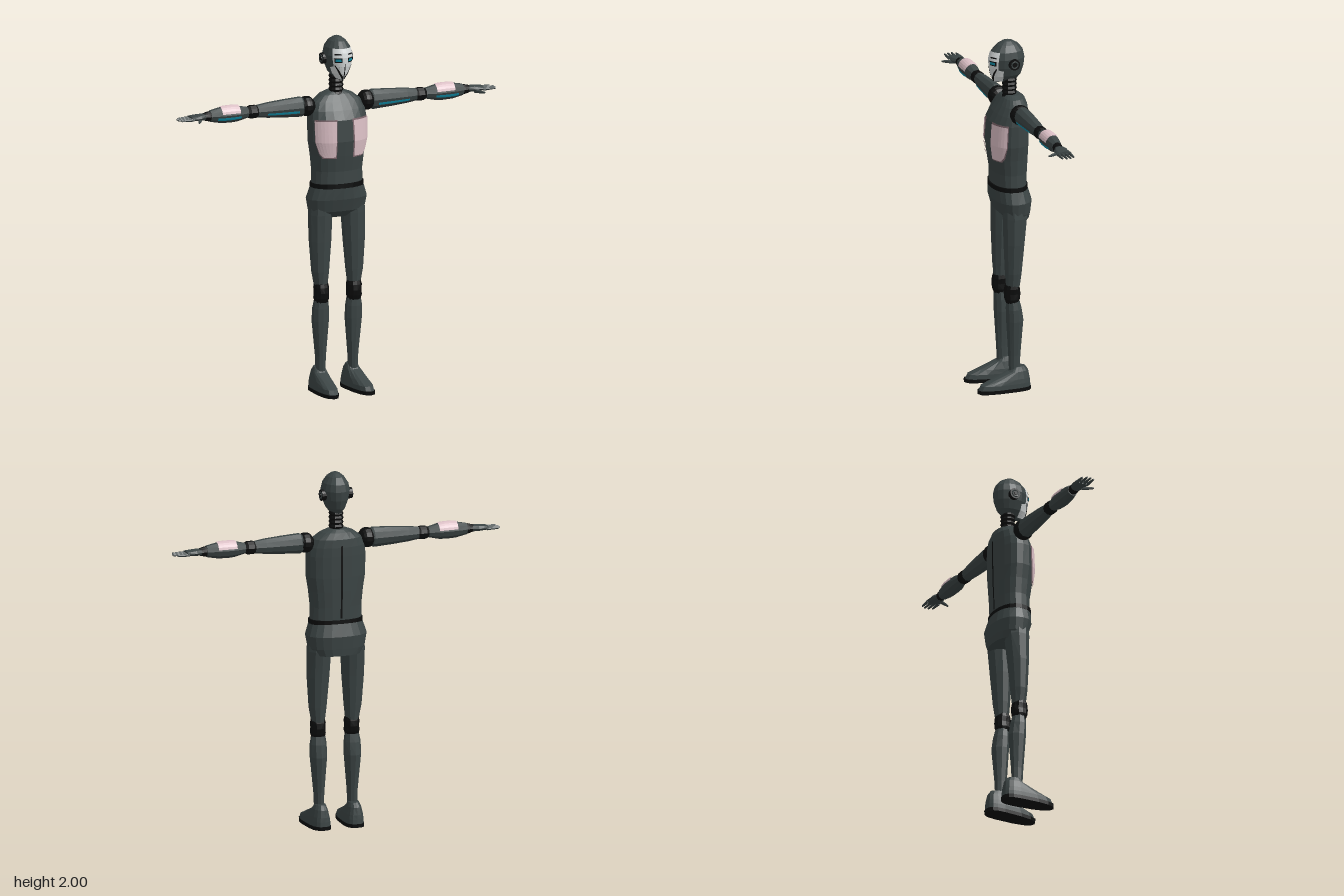
import * as THREE from 'three';
import { mergeGeometries } from 'three/addons/utils/BufferGeometryUtils.js';

const flat = (g) => {
  const f = g.index ? g.toNonIndexed() : g;
  f.deleteAttribute('uv');
  f.computeVertexNormals();
  return f;
};
const fromTriangles = (pts) => flat(new THREE.BufferGeometry().setFromPoints(pts));

// Section: [height, centre x, centre z, half width, depth to front, depth to back, roundness]
function surfacePoint(sections, angle, t, grow = 0) {
  let i = 0;
  while (i < sections.length - 2 && t > sections[i + 1][0]) i++;
  const a = sections[i], b = sections[i + 1];
  const k = (t - a[0]) / (b[0] - a[0]);
  const [, cx, cz, w, f, r, p = 1] = a.map((v, j) => v + (b[j] - v) * k);
  const bend = (v) => Math.sign(v) * Math.abs(v) ** p;
  const s = Math.sin(angle), c = Math.cos(angle);
  return new THREE.Vector3(cx + (w + grow) * bend(s), t, cz + ((c > 0 ? f : r) + grow) * bend(c));
}

// Closed body through the sections
function loft(sections, sides = 8) {
  const pts = [], last = sections.length - 1;
  const at = (i, j) => surfacePoint(sections, (i / sides) * Math.PI * 2, sections[j][0]);
  const middle = (j) => new THREE.Vector3(sections[j][1], sections[j][0], sections[j][2]);
  for (let i = 0; i < sides; i++) {
    for (let j = 0; j < last; j++) {
      const a = at(i, j), b = at(i + 1, j), c = at(i + 1, j + 1), d = at(i, j + 1);
      pts.push(a, b, c, a, c, d);
    }
    pts.push(middle(0), at(i + 1, 0), at(i, 0), middle(last), at(i, last), at(i + 1, last));
  }
  return fromTriangles(pts);
}

// Thin skin lying on a loft; rows are [height, start angle, end angle]
function patch(sections, rows, grow = 0.004, columns = 6, steps = 4) {
  const pts = [];
  for (let r = 0; r < rows.length - 1; r++) for (let s = 0; s < steps; s++) {
    const at = (u, k) => {
      const [t, a, b] = rows[r].map((v, j) => v + (rows[r + 1][j] - v) * k);
      return surfacePoint(sections, a + (b - a) * u, t, grow);
    };
    for (let i = 0; i < columns; i++) {
      const u0 = i / columns, u1 = (i + 1) / columns, k0 = s / steps, k1 = (s + 1) / steps;
      const a = at(u0, k0), b = at(u1, k0), c = at(u1, k1), d = at(u0, k1);
      pts.push(a, b, c, a, c, d);
    }
  }
  return fromTriangles(pts);
}

function mirrored(geometry) {
  const g = geometry.clone(), p = g.attributes.position, pts = [];
  for (let i = 0; i < p.count; i += 3)
    for (const j of [0, 2, 1]) pts.push(new THREE.Vector3(-p.getX(i + j), p.getY(i + j), p.getZ(i + j)));
  return fromTriangles(pts);
}

// Simple round sections [t, r] or [t, rx, rz]
const round = (list, cx, cz) => list.map(([t, w, d = w]) => [t, cx, cz, w, d, d, 1]);

export function createModel() {
  const model = new THREE.Group();
  model.name = 'humanoidRobot';
  const material = (name, color) => Object.assign(new THREE.MeshStandardMaterial({ color }), { name });
  const shell = material('dark grey shell', 0x3b4444);
  const black = material('black joint', 0x0c0d0d);
  const pink = material('pale pink panel', 0xdcc0c6);
  const trim = material('panel trim', 0x7d666c);
  const white = material('white mask', 0xd6dada);
  const cyan = material('cyan light', 0x128ca6);

  const add = (name, geometry, mat) => {
    const mesh = new THREE.Mesh(geometry, mat);
    mesh.name = name;
    model.add(mesh);
  };
  const pair = (name, geometry, mat) => {
    add(name + 'Left', geometry, mat);
    add(name + 'Right', mirrored(geometry), mat);
  };

  // Torso, belt and pelvis
  const torso = [
    [1.165, 0, -0.05, 0.148, 0.098, 0.088, 0.9],
    [1.25, 0, -0.05, 0.146, 0.098, 0.092, 0.9],
    [1.34, 0, -0.05, 0.155, 0.112, 0.096, 0.9],
    [1.42, 0, -0.05, 0.168, 0.121, 0.098, 0.9],
    [1.54, 0, -0.05, 0.17, 0.112, 0.1, 0.9],
    [1.59, 0, -0.05, 0.163, 0.085, 0.1, 0.9],
    [1.635, 0, -0.055, 0.142, 0.062, 0.092, 0.9],
    [1.67, 0, -0.06, 0.095, 0.045, 0.075, 0.9],
    [1.685, 0, -0.065, 0.055, 0.035, 0.05, 0.9],
  ];
  add('torso', loft(torso, 20), shell);
  add('spineSeam', patch(torso, [[1.19, Math.PI - 0.025, Math.PI + 0.025], [1.6, Math.PI - 0.025, Math.PI + 0.025]], 0.002, 2, 8), black);
  pair('chestPanelTrim', patch(torso, [[1.328, 0.28, 0.84], [1.352, 0.27, 1.0], [1.42, 0.25, 1.13], [1.546, 0.23, 1.14]], 0.003), trim);
  pair('chestPanel', patch(torso, [[1.336, 0.31, 0.8], [1.358, 0.3, 0.95], [1.42, 0.28, 1.09], [1.538, 0.26, 1.1]], 0.007), pink);
  add('belt', loft([
    [1.155, 0, -0.05, 0.154, 0.105, 0.096, 0.9],
    [1.18, 0, -0.05, 0.154, 0.105, 0.096, 0.9],
  ], 20), black);
  add('pelvis', loft([
    [0.98, 0, -0.05, 0.14, 0.03, 0.104, 0.85],
    [1.02, 0, -0.05, 0.162, 0.075, 0.109, 0.85],
    [1.09, 0, -0.05, 0.174, 0.097, 0.116, 0.85],
    [1.16, 0, -0.05, 0.152, 0.104, 0.096, 0.9],
  ], 20), shell);

  // Ribbed neck
  const ribs = [];
  for (let i = 0; i <= 10; i++) ribs.push([1.66 + i * 0.012, i % 2 ? 0.042 : 0.036]);
  add('neck', loft(round(ribs, 0, -0.057), 12), black);

  // Head with mask
  const head = [
    [1.762, 0, -0.045, 0.018, 0.076, 0.045],
    [1.8, 0, -0.045, 0.05, 0.093, 0.076],
    [1.85, 0, -0.045, 0.07, 0.103, 0.092],
    [1.9, 0, -0.045, 0.078, 0.105, 0.097],
    [1.94, 0, -0.045, 0.069, 0.092, 0.088],
    [1.975, 0, -0.045, 0.046, 0.06, 0.06],
    [1.993, 0, -0.045, 0.023, 0.028, 0.028],
    [2, 0, -0.045, 0.004, 0.005, 0.005],
  ];
  add('head', loft(head, 16), shell);
  add('faceMask', patch(head, [
    [1.766, -1.15, 1.15], [1.835, -1.15, 1.15], [1.842, -0.84, 0.84], [1.942, -0.86, 0.86],
  ], 0.004, 12), white);
  pair('eyeSocket', patch(head, [[1.866, 0.2, 0.72], [1.892, 0.2, 0.72]], 0.006), black);
  pair('eye', patch(head, [[1.872, 0.26, 0.66], [1.887, 0.26, 0.66]], 0.008), cyan);
  pair('eyebrow', patch(head, [[1.908, 0.24, 0.7], [1.915, 0.24, 0.7]], 0.006), black);
  pair('jawSeam', patch(head, [[1.768, 0.0, 0.3], [1.8, 0.32, 0.5], [1.85, 0.7, 0.78]], 0.006, 2), black);
  add('noseSeam', patch(head, [[1.775, -0.06, 0.06], [1.86, -0.025, 0.025]], 0.006, 2), black);
  const disc = (r, x0, x1, y, z, sides = 14) =>
    flat(new THREE.CylinderGeometry(r, r, x1 - x0, sides).rotateZ(Math.PI / 2).translate((x0 + x1) / 2, y, z));
  pair('earPiece', disc(0.031, 0.06, 0.09, 1.875, -0.057), black);
  pair('earRing', flat(new THREE.TorusGeometry(0.018, 0.004, 5, 14).rotateY(Math.PI / 2).translate(0.09, 1.875, -0.057)), shell);
  pair('earCore', disc(0.01, 0.06, 0.095, 1.875, -0.057), black);

  // Arms: lofts turned to run along x; angle -90 degrees faces up
  const armY = 1.615;
  const turn = (g) => flat(g.rotateZ(-Math.PI / 2).translate(0, armY, 0));
  const arm = (list) => round(list, 0, -0.057);
  const upperArm = arm([[0.195, 0.046, 0.04], [0.215, 0.057, 0.047], [0.32, 0.051, 0.044], [0.42, 0.043, 0.039], [0.485, 0.034, 0.032]]);
  const forearm = arm([[0.53, 0.028], [0.6, 0.044, 0.042], [0.64, 0.047, 0.043], [0.7, 0.045, 0.04], [0.765, 0.032, 0.03]]);
  const shoulder = flat(new THREE.SphereGeometry(0.057, 14, 10).rotateZ(Math.PI / 2).scale(0.85, 1, 1).translate(0.18, armY, -0.055));
  pair('shoulder', shoulder, black);
  pair('upperArm', turn(loft(upperArm, 10)), shell);
  pair('upperArmLight', turn(patch(upperArm, [[0.24, 0.24, 0.5], [0.43, 0.26, 0.55]], 0.003)), cyan);
  pair('elbow', turn(loft(arm([[0.47, 0.028], [0.49, 0.037], [0.525, 0.037], [0.545, 0.027]]), 10)), black);
  pair('forearm', turn(loft(forearm, 10)), shell);
  pair('forearmPanel', turn(patch(forearm, [[0.595, -2.95, -0.2], [0.705, -2.95, -0.2]], 0.005, 10)), pink);
  pair('forearmLight', turn(patch(forearm, [[0.59, 0.2, 0.52], [0.73, 0.22, 0.6]], 0.003)), cyan);
  pair('wrist', turn(loft(arm([[0.755, 0.026], [0.775, 0.028], [0.805, 0.02, 0.024]]), 10)), black);

  // Hands
  const fingers = [];
  for (let i = 0; i < 4; i++) {
    const z = -0.09 + i * 0.022, tip = [0.945, 0.96, 0.96, 0.95][i];
    fingers.push(turn(loft(round([[0.875, 0.009], [0.92, 0.007], [tip, 0.005]], 0.004, z), 6)));
  }
  const thumb = flat(loft(round([[0, 0.011], [0.04, 0.009], [0.07, 0.005]], 0, 0), 6)
    .rotateX(Math.PI / 2).rotateY(0.5).translate(0.832, armY - 0.012, -0.037));
  pair('palm', turn(loft(arm([[0.795, 0.02, 0.025], [0.83, 0.019, 0.041], [0.885, 0.012, 0.044]]), 8)), shell);
  pair('fingers', mergeGeometries([...fingers, thumb]), shell);

  // Legs
  pair('thigh', loft([
    [0.595, 0.1, -0.04, 0.037, 0.038, 0.04],
    [0.68, 0.103, -0.042, 0.05, 0.047, 0.048],
    [0.85, 0.102, -0.045, 0.063, 0.057, 0.062],
    [1.0, 0.099, -0.05, 0.068, 0.066, 0.074],
    [1.08, 0.095, -0.05, 0.066, 0.065, 0.07],
  ], 10), shell);
  pair('knee', loft(round([[0.505, 0.037, 0.034], [0.53, 0.044, 0.044], [0.56, 0.041, 0.048], [0.59, 0.044, 0.044], [0.61, 0.039, 0.038]], 0.099, -0.037), 12), black);
  pair('shin', loft([
    [0.1, 0.098, -0.05, 0.026, 0.03, 0.032],
    [0.2, 0.098, -0.048, 0.03, 0.033, 0.038],
    [0.4, 0.1, -0.045, 0.048, 0.041, 0.058],
    [0.47, 0.1, -0.042, 0.047, 0.04, 0.05],
    [0.515, 0.099, -0.04, 0.04, 0.036, 0.04],
  ], 10), shell);

  // Shoes, with the front end swung a little outward
  const splay = (g) => flat(g.translate(-0.1, 0, 0.05).rotateY(0.05).translate(0.1, 0, -0.05));
  pair('shoe', splay(loft([
    [0.018, 0.1, -0.05, 0.053, 0.214, 0.09, 0.75],
    [0.045, 0.1, -0.05, 0.052, 0.2, 0.089, 0.75],
    [0.07, 0.1, -0.05, 0.049, 0.135, 0.087, 0.8],
    [0.11, 0.1, -0.055, 0.04, 0.04, 0.075, 0.9],
    [0.135, 0.099, -0.06, 0.03, 0.02, 0.052, 1],
  ], 16)), shell);
  pair('sole', splay(loft([
    [0, 0.1, -0.05, 0.055, 0.218, 0.092, 0.75],
    [0.02, 0.1, -0.05, 0.056, 0.22, 0.093, 0.75],
  ], 16)), black);

  return model;
}
